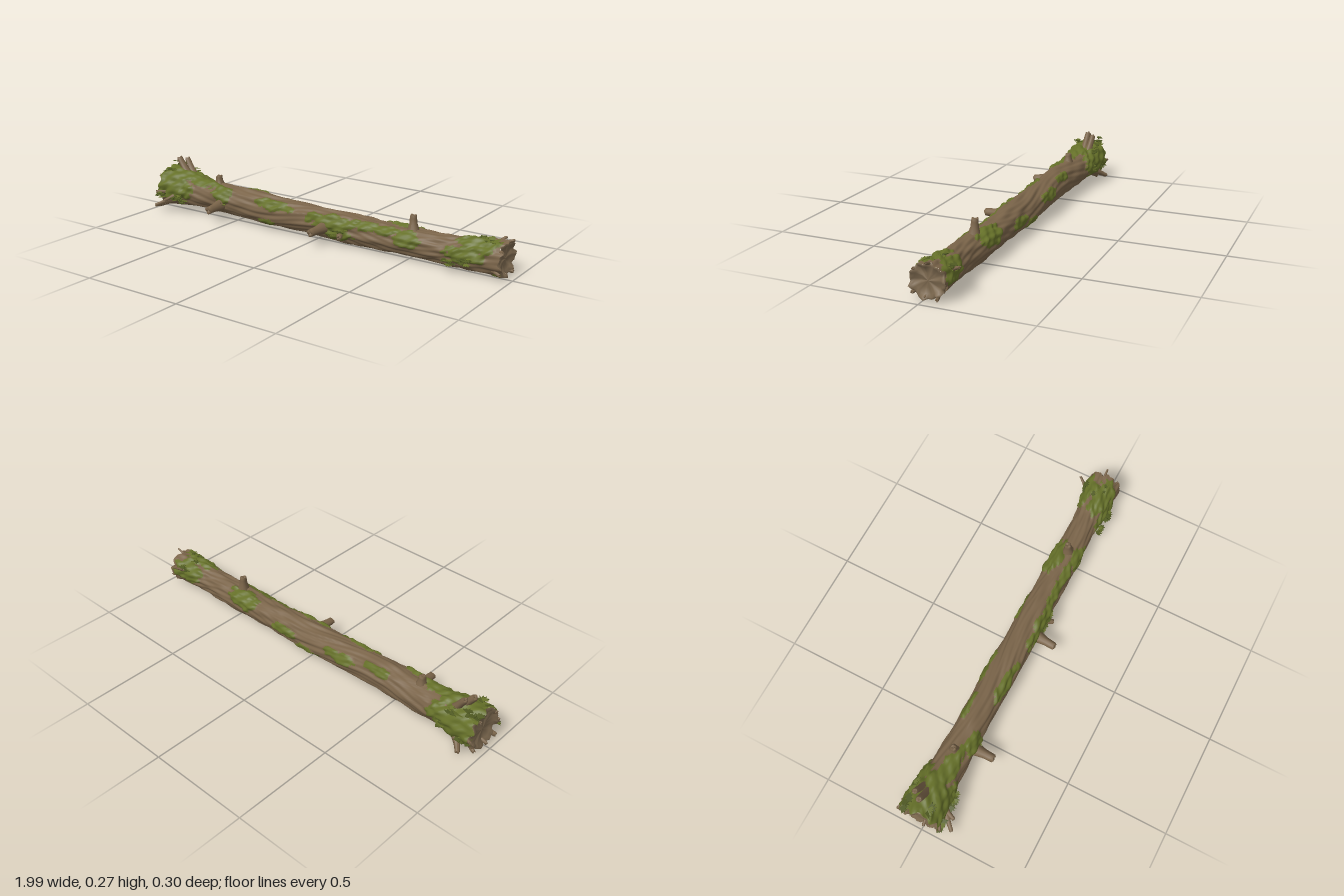
import * as THREE from 'three';

const bark = new THREE.MeshStandardMaterial({ color: 0x7a6449 });
bark.name = 'bark';
const moss = new THREE.MeshStandardMaterial({ color: 0x667129 });
moss.name = 'moss';
const leaf = new THREE.MeshStandardMaterial({ color: 0x505a22, side: THREE.DoubleSide });
leaf.name = 'dark moss leaf';
const wood = new THREE.MeshStandardMaterial({ color: 0x7d694f });
wood.name = 'broken wood';

let seed = 7;
const rand = () => (seed = (seed * 16807) % 2147483647) / 2147483647;

// trunk stations: x, centre y, centre z, radius
const STATIONS = [
  [-0.97, 0.11, -0.02, 0.093], [-0.9, 0.115, -0.02, 0.089], [-0.8, 0.113, -0.019, 0.08],
  [-0.7, 0.107, -0.017, 0.075], [-0.5, 0.103, -0.015, 0.072], [-0.2, 0.093, -0.015, 0.07],
  [0.1, 0.085, -0.015, 0.069], [0.4, 0.081, -0.015, 0.066], [0.7, 0.081, -0.015, 0.065],
  [0.85, 0.086, -0.018, 0.07], [0.96, 0.093, -0.022, 0.079],
];
function station(x) {
  let k = 0;
  while (k < STATIONS.length - 2 && x > STATIONS[k + 1][0]) k++;
  const a = STATIONS[k], b = STATIONS[k + 1];
  const t = THREE.MathUtils.smoothstep(x, a[0], b[0]);
  return [1, 2, 3].map((i) => a[i] + (b[i] - a[i]) * t);
}

// moss patches: x, angle from the top towards the front, half length, half angle, thickness
const PATCHES = [
  [-0.9, 0, 0.15, 1.7, 0.013], [-0.88, 1.2, 0.12, 1.0, 0.012], [-0.87, -1.3, 0.15, 1.1, 0.014],
  [-0.72, 0.3, 0.12, 0.6, 0.008], [-0.56, 1.0, 0.06, 0.75, 0.008], [-0.24, 0.85, 0.12, 0.45, 0.008],
  [0.1, 1.1, 0.14, 0.6, 0.009], [0.13, 1.9, 0.09, 0.5, 0.01], [0.34, 0.8, 0.16, 0.4, 0.007],
  [0.5, 1.1, 0.07, 0.7, 0.007], [0.46, -0.8, 0.1, 0.85, 0.01], [0.16, -1.5, 0.08, 0.45, 0.007],
  [-0.2, -1.2, 0.1, 0.4, 0.008], [-0.42, -0.8, 0.08, 0.35, 0.007], [0.84, 0.4, 0.1, 0.9, 0.01],
  [0.79, 1.4, 0.1, 0.6, 0.01], [0.85, -1.1, 0.1, 0.8, 0.011], [-0.28, 2.3, 0.06, 0.3, 0.006],
  [0.95, 2.8, 0.035, 0.4, 0.005], [0.02, -2.1, 0.08, 0.35, 0.006],
];
function mossAt(x, a) {
  const rough = 0.22 * Math.sin(61 * x + 3 * a) + 0.2 * Math.sin(9 * a - 37 * x) + 0.12 * Math.sin(140 * x + 13 * a);
  let best = -1, thick = 0;
  for (const [px, pa, hx, ha, h] of PATCHES) {
    const da = Math.atan2(Math.sin(a - pa), Math.cos(a - pa));
    const m = 1 - ((x - px) / hx) ** 2 - (da / ha) ** 2 + rough;
    if (m > best) { best = m; thick = h; }
  }
  return [best, best > 0 ? thick * Math.min(1, best * 2) * (1 + 0.25 * Math.sin(90 * x + 8 * a)) : 0];
}

// a point on the bark with long ridges and knots
function surface(x, a, scale = 1) {
  const [cy, cz, r] = station(x);
  const ridge = 0.0025 * Math.sin(9 * a + 5 * Math.sin(4 * x)) + 0.0018 * Math.sin(17 * a + 7 * Math.sin(7 * x + 1))
    + 0.0025 * Math.sin(11 * x + 2 * a) + 0.0012 * Math.sin(38 * x + 5 * a);
  const rr = (r + ridge + mossAt(x, a)[1]) * scale;
  return new THREE.Vector3(x, cy + rr * Math.cos(a), cz + rr * Math.sin(a));
}
const splinter = (a) => 0.009 * Math.sin(7 * a) + 0.006 * Math.sin(13 * a + 1);

function makeTrunk() {
  const NX = 190, NA = 72, pos = [], brown = [], green = [];
  for (let j = 0; j <= NX; j++) for (let i = 0; i < NA; i++) {
    const x = -0.97 + (1.93 * j) / NX, a = (i / NA) * Math.PI * 2;
    const p = surface(x, a);
    p.x += splinter(a) * Math.max(0, (Math.abs(x) - 0.88) / 0.09);
    pos.push(p.x, p.y, p.z);
  }
  for (let j = 0; j < NX; j++) for (let i = 0; i < NA; i++) {
    const n = (i + 1) % NA, a = j * NA + i, b = j * NA + n, c = a + NA, d = b + NA;
    const m = mossAt(-0.97 + (1.93 * (j + 0.5)) / NX, ((i + 0.5) / NA) * Math.PI * 2)[0];
    (m > 0.05 ? green : brown).push(a, b, c, b, d, c);
  }
  const g = new THREE.BufferGeometry();
  g.setAttribute('position', new THREE.Float32BufferAttribute(pos, 3));
  g.setIndex([...brown, ...green]);
  g.addGroup(0, brown.length, 0);
  g.addGroup(brown.length, green.length, 1);
  g.computeVertexNormals();
  return new THREE.Mesh(g, [bark, moss]);
}

// broken end face, slightly hollow, built from concentric rings
function makeEnd(x, dir) {
  const NA = 36, pos = [], idx = [], rings = [[1, 0], [0.88, 0.004], [0.75, -0.008], [0.4, -0.012], [0.001, -0.008]];
  rings.forEach(([s, push], k) => {
    for (let i = 0; i < NA; i++) {
      const a = (i / NA) * Math.PI * 2, p = surface(x, a, s);
      p.x += splinter(a) * s ** 3 + dir * (push + (k % 4 ? 0.002 * Math.sin(5 * a + k) : 0));
      pos.push(p.x, p.y, p.z);
      if (k === rings.length - 1) continue;
      const n = k * NA + ((i + 1) % NA), c = k * NA + i;
      if (dir > 0) idx.push(c, n, c + NA, n, n + NA, c + NA);
      else idx.push(c, c + NA, n, n, c + NA, n + NA);
    }
  });
  const g = new THREE.BufferGeometry();
  g.setAttribute('position', new THREE.Float32BufferAttribute(pos, 3));
  g.setIndex(idx);
  g.computeVertexNormals();
  return new THREE.Mesh(g, wood);
}

// tapered piece from p to q with a flared foot and a chipped tip
function makeStub(p, q, foot, tip, squash = 1) {
  const a = new THREE.Vector3(...p), b = new THREE.Vector3(...q), len = a.distanceTo(b);
  const mid = tip + (foot - tip) * 0.25;
  const prof = [[foot * 1.25, 0], [foot, 0.25], [mid, 0.55], [tip * 1.05, 0.8], [tip, 0.97], [tip * 0.7, 1], [0.0001, 0.95]];
  const g = new THREE.LatheGeometry(prof.map(([r, t]) => new THREE.Vector2(r, t * len)), 12);
  const v = g.attributes.position;
  for (let i = 0; i < v.count; i++) {
    const ang = Math.atan2(v.getZ(i), v.getX(i)), k = 1 + 0.08 * Math.sin(4 * ang + len * 60);
    const y = v.getY(i);
    v.setXYZ(i, v.getX(i) * k, y > len * 0.9 ? y - 0.003 * (1 + Math.sin(3 * ang)) : y, v.getZ(i) * k * squash);
  }
  g.computeVertexNormals();
  const m = new THREE.Mesh(g, bark);
  m.position.copy(a);
  m.quaternion.setFromUnitVectors(new THREE.Vector3(0, 1, 0), b.sub(a).normalize());
  return m;
}

// cluster of small jagged leaves spreading away from the trunk
function makeTuft([x, y, z], size, count) {
  const tuft = new THREE.Group(), out = Math.atan2(z + 0.018, 0.02 * (rand() - 0.5));
  for (let n = 0; n < count; n++) {
    const s = size * (0.6 + 0.5 * rand()), shape = new THREE.Shape();
    shape.moveTo(0, -s * 0.3);
    for (let i = 0; i <= 8; i++) {
      const a = -1.1 + (2.2 * i) / 8, r = s * (i % 2 ? 0.65 : 1) * (0.85 + 0.3 * rand());
      shape.lineTo(r * Math.sin(a), r * Math.cos(a));
    }
    const g = new THREE.ExtrudeGeometry(shape, { depth: 0.003, bevelEnabled: false });
    g.rotateX(Math.PI / 2 + (rand() - 0.4) * 0.7);
    g.rotateY(Math.PI / 2 - out - Math.PI / 2 + Math.PI / 2 * Math.sign(z + 0.018) + (rand() - 0.5) * 1.6);
    const m = new THREE.Mesh(g, n % 3 ? leaf : moss);
    m.position.set(x + (rand() - 0.5) * size * 2, y + (rand() - 0.5) * size * 1.3, z + (rand() - 0.5) * size * 0.4);
    tuft.add(m);
  }
  return tuft;
}

export function createModel() {
  const model = new THREE.Group();
  const add = (name, mesh) => { mesh.name = name; model.add(mesh); };
  add('trunk', makeTrunk());
  add('rightBrokenEnd', makeEnd(-0.97, -1));
  add('leftBrokenEnd', makeEnd(0.96, 1));

  // branch stubs
  [
    [[-0.57, 0.09, 0.035], [-0.57, 0.08, 0.152], 0.028, 0.019],
    [[0.06, 0.083, 0.035], [0.05, 0.08, 0.152], 0.027, 0.018],
    [[-0.63, 0.15, -0.02], [-0.635, 0.22, -0.02], 0.028, 0.015],
    [[0.51, 0.12, -0.01], [0.505, 0.213, -0.014], 0.028, 0.016],
    [[-0.83, 0.15, -0.03], [-0.92, 0.272, -0.033], 0.023, 0.015],
    [[-0.82, 0.15, -0.055], [-0.895, 0.265, -0.068], 0.021, 0.014],
    [[0.15, 0.07, 0.035], [0.17, 0.06, 0.085], 0.02, 0.012],
  ].forEach((s) => add('branchStub', makeStub(...s)));

  // root pieces and splinters, from the trunk axis to each tip
  const roots = (tips, x0, cy) => tips.forEach(([x, y, z, r]) => {
    const foot = [x0, cy + (y - cy) * 0.45, -0.02 + (z + 0.02) * 0.45];
    add('rootSplinter', makeStub(foot, [x, y, z], r * 1.5, r * 0.75, 0.8));
  });
  roots([
    [-0.95, 0.04, 0.132, 0.014], [-0.98, 0.022, 0.075, 0.014], [-0.97, 0.014, -0.075, 0.014],
    [-0.93, 0.032, -0.142, 0.016], [-0.98, 0.11, -0.13, 0.012], [-0.985, 0.19, -0.07, 0.011],
    [-0.99, 0.18, 0.045, 0.011], [-0.98, 0.1, 0.09, 0.012], [-0.985, 0.022, 0, 0.012], [-0.9, 0.07, 0.12, 0.012],
  ], -0.87, 0.11);
  roots([
    [0.975, 0.022, -0.07, 0.012], [0.965, 0.035, 0.05, 0.011], [0.99, 0.18, -0.03, 0.008],
    [0.905, 0.15, -0.14, 0.009], [0.97, 0.14, 0.04, 0.009], [0.97, 0.02, -0.01, 0.011], [0.96, 0.07, -0.105, 0.011],
  ], 0.86, 0.088);

  // leafy moss tufts
  [
    [[-0.95, 0.215, -0.09], 0.03, 8], [[-0.86, 0.2, -0.1], 0.028, 8], [[-0.82, 0.11, -0.115], 0.028, 7],
    [[-0.94, 0.1, -0.12], 0.026, 6], [[-0.93, 0.207, 0.02], 0.028, 6], [[-0.84, 0.085, 0.075], 0.026, 9],
    [[-0.95, 0.09, 0.08], 0.026, 8], [[-0.8, 0.07, 0.07], 0.022, 6], [[0.72, 0.06, 0.06], 0.024, 8],
    [[0.8, 0.075, 0.062], 0.024, 9], [[0.86, 0.155, -0.04], 0.026, 7], [[0.87, 0.13, -0.1], 0.026, 8],
    [[0.9, 0.16, 0.0], 0.024, 5], [[0.12, 0.075, 0.055], 0.02, 7], [[0.17, 0.09, 0.055], 0.018, 5],
    [[-0.56, 0.1, 0.06], 0.016, 4],
  ].forEach((t) => add('mossTuft', makeTuft(...t)));
  return model;
}
